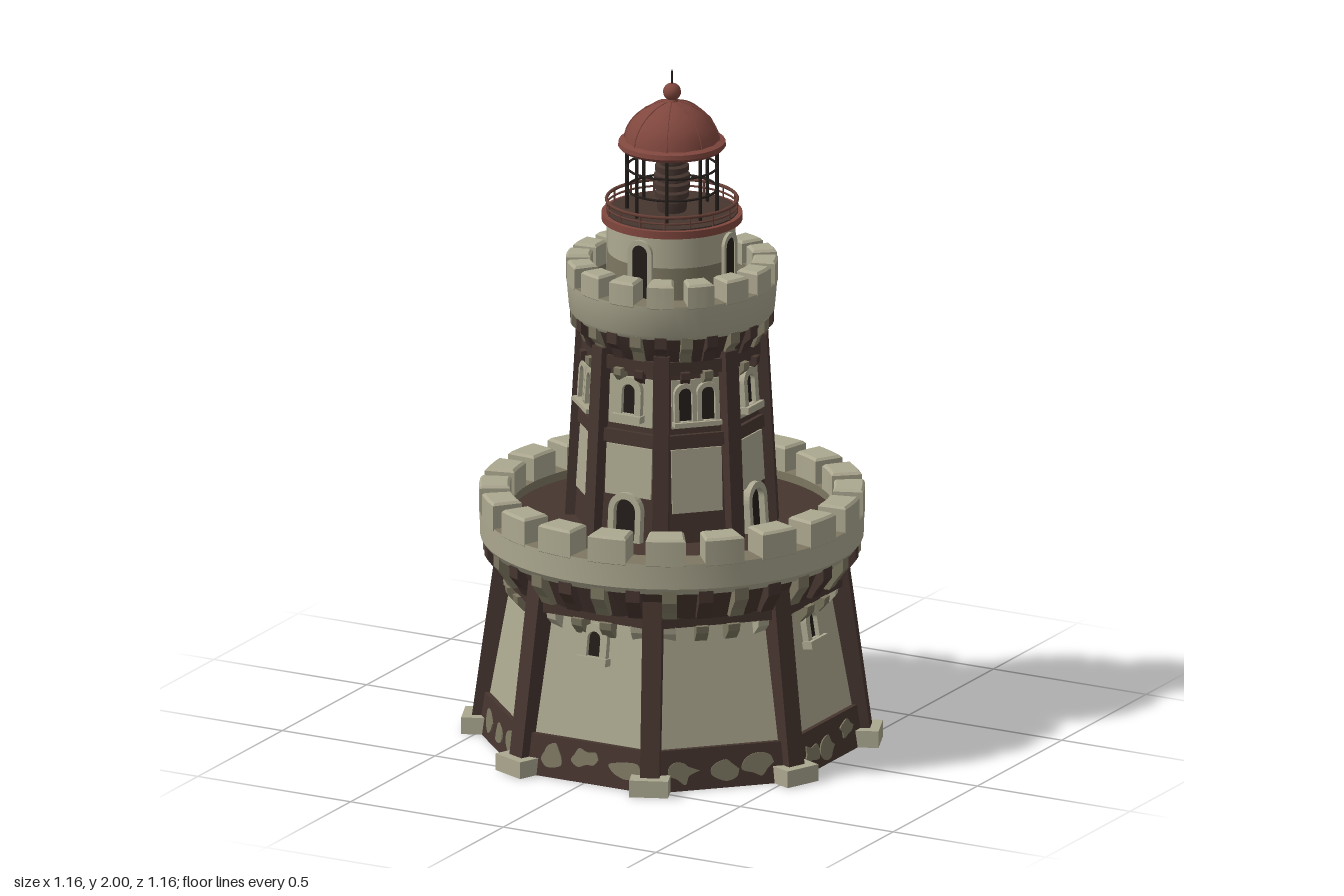
import * as THREE from 'three';
import { toCreasedNormals } from 'three/addons/utils/BufferGeometryUtils.js';

const mat = (name, color) => {
  const m = new THREE.MeshStandardMaterial({ color });
  m.name = name;
  return m;
};
const stone = mat('pale stone', 0xaca890);
const dimStone = mat('weathered stone', 0x7d7761);
const baseStone = mat('underside stone', 0x5c554a);
const brown = mat('dark brown masonry', 0x46352f);
const rust = mat('rust brown', 0x653f36);
const red = mat('red roof', 0x80473e);
const dark = mat('near black', 0x241e1a);

const TAU = Math.PI * 2, EIGHTH = Math.PI / 8, COS = Math.cos(EIGHTH);

function add(parent, name, geo, material, x = 0, y = 0, z = 0) {
  const m = new THREE.Mesh(geo, material);
  m.name = name;
  m.position.set(x, y, z);
  parent.add(m);
  return m;
}

// Repeats a part around the tower; inside each group +z points outward
function around(parent, name, n, offset, build) {
  for (let i = 0; i < n; i++) {
    const g = new THREE.Group();
    g.name = name;
    g.rotation.y = offset + (i / n) * TAU;
    parent.add(g);
    build(g, i);
  }
}

// Eight-sided frustum with corners at 22.5 degrees
const octagon = (rBottom, rTop, y0, y1) =>
  toCreasedNormals(new THREE.CylinderGeometry(rTop, rBottom, y1 - y0, 8, 1, false, EIGHTH)
    .translate(0, (y0 + y1) / 2, 0), 0.4);

const lathe = (pts, seg = 40, start = 0, crease = 0.6) =>
  toCreasedNormals(new THREE.LatheGeometry(pts.map(p => new THREE.Vector2(...p)), seg, start), crease);

const tube = (r0, r1, y0, y1) =>
  lathe([[r0, y0], [r1, y0], [r1, y1], [r0, y1], [r0, y0]], 60);

const torus = (r, t) => new THREE.TorusGeometry(r, t, 6, 40).rotateX(Math.PI / 2);

// Curved block spanning an angle, centred on +z, with chipped edges
function arcBlock(rIn, rOut, height, angle) {
  const b = 0.007, w = angle / 2;
  const s = new THREE.Shape();
  s.absarc(0, 0, rOut - b, -w, w, false);
  s.absarc(0, 0, rIn + b, w, -w, true);
  s.closePath();
  return toCreasedNormals(new THREE.ExtrudeGeometry(s, {
    depth: height - b, bevelEnabled: true, bevelThickness: b, bevelSize: b, bevelSegments: 1, curveSegments: 4,
  }).rotateX(-Math.PI / 2).rotateY(-Math.PI / 2), 0.3);
}

// Bracket with a side profile of [radius, height] points
function bracket(profile, width) {
  const s = new THREE.Shape(profile.map(p => new THREE.Vector2(...p)));
  return new THREE.ExtrudeGeometry(s, { depth: width, bevelEnabled: false })
    .translate(0, 0, -width / 2).rotateY(-Math.PI / 2);
}

// Leaning corner post from (r0, y0) to (r1, y1)
function post(parent, r0, y0, r1, y1, width, depth) {
  const m = add(parent, 'cornerPost', new THREE.BoxGeometry(width, Math.hypot(y1 - y0, r1 - r0), depth), brown,
    0, (y0 + y1) / 2, (r0 + r1) / 2);
  m.rotation.x = Math.atan((r1 - r0) / (y1 - y0));
}

function arch(w, h, Kind = THREE.Shape, y = 0) {
  const s = new Kind();
  s.moveTo(-w / 2, y);
  s.lineTo(w / 2, y);
  s.lineTo(w / 2, y + h - w / 2);
  s.absarc(0, y + h - w / 2, w / 2, 0, Math.PI, false);
  s.closePath();
  return s;
}
const plate = (shape, depth) => new THREE.ExtrudeGeometry(shape, { depth, bevelEnabled: false, curveSegments: 8 });

// Arched opening with a stone surround
function opening(parent, name, w, h, border, x, y, z, tilt, depth = 0.02, sill = true) {
  const g = new THREE.Group();
  g.name = name;
  g.position.set(x, y, z);
  g.rotation.x = tilt;
  parent.add(g);
  const frame = arch(w + 2 * border, h + border + (sill ? border : 0), THREE.Shape, sill ? -border : 0);
  frame.holes.push(arch(w, h - 0.002, THREE.Path, 0.001));
  add(g, 'surround', plate(frame, depth), stone);
  add(g, 'darkOpening', plate(arch(w, h), 0.006), dark);
  if (sill) add(g, 'sill', new THREE.BoxGeometry(w + 2.6 * border, border, depth * 1.6), stone, 0, -border / 2, depth * 0.8);
}

export function createModel() {
  const model = new THREE.Group();
  model.name = 'lighthouse';

  // Plinth with hollow underside, ragged stone patches and one long slab at the back
  add(model, 'plinth', lathe([[0.565, 0], [0.548, 0.12], [0.4, 0.12]], 8, EIGHTH, 0.4), brown);
  add(model, 'underside', lathe([[0.14, 0], [0.565, 0]], 8, EIGHTH), baseStone);
  add(model, 'undersideHollow', lathe([[0, 0.09], [0.07, 0.08], [0.14, 0]], 8, EIGHTH), rust);
  let seed = 7;
  const rand = () => (seed = (seed * 16807) % 2147483647) / 2147483647;
  around(model, 'plinthPatches', 8, 0, (g, face) => {
    if (face === 4) {
      const slab = add(g, 'stoneSlab', new THREE.BoxGeometry(0.35, 0.085, 0.02), stone, 0, 0.043, COS * 0.56 - 0.004);
      slab.rotation.x = -0.13;
      return;
    }
    for (const cx of [-0.13, -0.02, 0.1]) {
      const pts = [], rx = 0.038 + rand() * 0.018, ry = 0.026 + rand() * 0.012;
      for (let i = 0; i < 9; i++) {
        const a = (i / 9) * TAU, k = 0.55 + rand() * 0.65;
        pts.push(new THREE.Vector2(Math.cos(a) * rx * k, Math.sin(a) * ry * k));
      }
      const y = 0.045 + rand() * 0.03, shape = new THREE.Shape();
      shape.setFromPoints(new THREE.SplineCurve([...pts, pts[0]]).getPoints(36));
      const m = add(g, 'stonePatch', plate(shape, 0.004), dimStone, cx + rand() * 0.03, y, COS * (0.565 - y * 0.142));
      m.rotation.x = -0.13;
    }
  });
  around(model, 'cornerFoot', 8, EIGHTH, g =>
    add(g, 'footBlock', new THREE.BoxGeometry(0.112, 0.05, 0.12), stone, 0, 0.025, 0.542));

  // Lower wall, posts and string course
  add(model, 'lowerWall', octagon(0.537, 0.462, 0.1, 0.52), stone);
  around(model, 'lowerPosts', 8, EIGHTH, g => post(g, 0.545, 0.04, 0.474, 0.56, 0.056, 0.06));
  add(model, 'lowerStringCourse', octagon(0.507, 0.507, 0.474, 0.503), brown);
  around(model, 'lowerWindows', 4, 0, g => opening(g, 'lowerWindow', 0.042, 0.075, 0.022, 0, 0.362, 0.452, -0.16));

  // Overhang and brackets under the lower parapet
  add(model, 'lowerOverhang', lathe([[0.44, 0.49], [0.48, 0.5], [0.525, 0.6], [0.44, 0.6]], 40), brown);
  const tip = bracket([[0.40, 0.425], [0.455, 0.425], [0.482, 0.455], [0.485, 0.476], [0.40, 0.476]], 0.036);
  const upperBracket = bracket([[0.42, 0.505], [0.5, 0.505], [0.515, 0.53], [0.542, 0.565], [0.542, 0.602], [0.42, 0.602]], 0.042);
  around(model, 'lowerBrackets', 32, TAU / 64, (g, i) => {
    add(g, 'bracketTip', tip, i % 4 === 0 || i % 4 === 3 ? dimStone : stone);
    add(g, 'bracket', upperBracket, i % 2 ? brown : dimStone);
  });

  // Lower parapet, deck and battlements
  add(model, 'lowerParapet', lathe([[0.465, 0.59], [0.535, 0.59], [0.55, 0.61], [0.552, 0.685]], 60), stone);
  add(model, 'lowerParapetTop', lathe([[0.552, 0.685], [0.465, 0.685], [0.465, 0.6]], 60), dimStone);
  add(model, 'lowerDeck', new THREE.CylinderGeometry(0.47, 0.47, 0.04, 40), brown, 0, 0.64, 0);
  const bigMerlon = arcBlock(0.465, 0.553, 0.08, 0.185);
  around(model, 'lowerBattlement', 20, TAU / 40, g => add(g, 'merlon', bigMerlon, stone, 0, 0.68, 0));

  // Upper tower: brown core with inset stone panels between posts and bands
  add(model, 'upperWall', octagon(0.288, 0.247, 0.65, 1.22), brown);
  around(model, 'upperPosts', 8, EIGHTH, g => post(g, 0.282, 0.65, 0.25, 1.22, 0.046, 0.05));
  around(model, 'upperPanels', 8, 0, (g, i) => {
    const panel = (w, y0, y1) => {
      const y = (y0 + y1) / 2;
      const m = add(g, 'stonePanel', new THREE.BoxGeometry(w, y1 - y0, 0.012), stone, 0, y, COS * (0.288 - (y - 0.65) * 0.072));
      m.rotation.x = -0.067;
    };
    panel(0.15, i % 2 ? 0.75 : 0.79, 0.938);
    panel(0.142, 1.0, 1.142);
  });
  add(model, 'middleBand', octagon(0.28, 0.277, 0.945, 0.982), brown);
  add(model, 'topBand', octagon(0.268, 0.268, 1.16, 1.2), brown);
  around(model, 'upperDoors', 4, 0, g => opening(g, 'door', 0.07, 0.125, 0.018, 0, 0.66, 0.264, -0.07, 0.025, false));
  around(model, 'upperSingleWindows', 4, 0, g => opening(g, 'window', 0.042, 0.09, 0.02, 0, 1.035, 0.244, -0.07));
  around(model, 'upperPairedWindows', 4, Math.PI / 4, g => {
    for (const x of [-0.034, 0.034]) opening(g, 'window', 0.04, 0.1, 0.013, x, 1.022, 0.245, -0.07);
  });

  // Upper overhang, parapet and battlements
  add(model, 'upperOverhang', lathe([[0.22, 1.17], [0.245, 1.19], [0.283, 1.285], [0.22, 1.285]], 40), brown);
  const smallBracket = bracket([[0.2, 1.2], [0.258, 1.2], [0.27, 1.23], [0.292, 1.25], [0.292, 1.283], [0.2, 1.283]], 0.034);
  const smallTip = bracket([[0.2, 1.13], [0.248, 1.13], [0.266, 1.15], [0.266, 1.17], [0.2, 1.17]], 0.026);
  around(model, 'upperBrackets', 24, TAU / 48, (g, i) => {
    add(g, 'bracket', smallBracket, i % 2 ? brown : dimStone);
    add(g, 'bracketTip', smallTip, i % 2 ? dimStone : brown);
  });
  add(model, 'upperParapet', lathe([[0.235, 1.275], [0.285, 1.275], [0.295, 1.29], [0.303, 1.38]], 48), stone);
  add(model, 'upperParapetTop', lathe([[0.303, 1.38], [0.235, 1.38], [0.235, 1.28]], 48), dimStone);
  add(model, 'upperDeck', new THREE.CylinderGeometry(0.24, 0.24, 0.03, 40), brown, 0, 1.32, 0);
  const smallMerlon = arcBlock(0.233, 0.304, 0.07, 0.215);
  around(model, 'upperBattlement', 16, 0, g => add(g, 'merlon', smallMerlon, stone, 0, 1.375, 0));

  // Round drum, weathered at its foot, with arched doors
  add(model, 'drum', new THREE.CylinderGeometry(0.182, 0.184, 0.09, 40), stone, 0, 1.505, 0);
  add(model, 'drumFoot', new THREE.CylinderGeometry(0.186, 0.188, 0.14, 40), dimStone, 0, 1.39, 0);
  around(model, 'drumDoors', 4, 0, g => opening(g, 'drumDoor', 0.05, 0.16, 0.014, 0, 1.365, 0.183, 0, 0.01, false));

  // Gallery with railing
  add(model, 'galleryRim', tube(0.12, 0.202, 1.553, 1.575), red);
  add(model, 'galleryFloor', new THREE.CylinderGeometry(0.188, 0.188, 0.02, 40), brown, 0, 1.569, 0);
  add(model, 'handRail', torus(0.188, 0.005), rust, 0, 1.613, 0);
  add(model, 'middleRail', torus(0.188, 0.003), rust, 0, 1.594, 0);
  around(model, 'railing', 16, 0, g =>
    add(g, 'railPost', new THREE.CylinderGeometry(0.003, 0.003, 0.045, 6), rust, 0, 1.594, 0.188));

  // Lantern cage and stacked lens
  around(model, 'lanternCage', 8, EIGHTH, g =>
    add(g, 'cageBar', new THREE.CylinderGeometry(0.0055, 0.0055, 0.2, 6), dark, 0, 1.675, 0.13));
  for (const y of [1.645, 1.71]) add(model, 'cageRing', torus(0.13, 0.0035), dark, 0, y, 0);
  const lens = [[0, 1.575], [0.04, 1.575]];
  for (let i = 0; i < 6; i++) {
    const y = 1.595 + i * 0.026, r = 0.044 + 0.008 * Math.sin((i / 5) * Math.PI);
    lens.push([r, y], [r, y + 0.016], [r - 0.013, y + 0.021]);
  }
  lens.push([0.035, 1.78], [0, 1.78]);
  add(model, 'lens', lathe(lens, 20), brown);

  // Faceted dome with fine ribs, finial and spike
  add(model, 'domeEave', lathe([[0, 1.77], [0.145, 1.765], [0.155, 1.775], [0.153, 1.788], [0.13, 1.795]], 32), red);
  const dome = [[0.138, 1.788], [0.133, 1.815], [0.116, 1.847], [0.088, 1.875], [0.052, 1.896], [0.018, 1.906], [0.014, 1.915], [0, 1.915]];
  add(model, 'dome', lathe(dome, 16, 0, 0.5), red);
  const rib = new THREE.CatmullRomCurve3(dome.slice(0, 6).map(([r, y]) => new THREE.Vector3(0, y, r)));
  const ribGeo = new THREE.TubeGeometry(rib, 12, 0.002, 5);
  around(model, 'domeRibs', 8, EIGHTH, g => add(g, 'rib', ribGeo, red));
  add(model, 'finialBall', new THREE.SphereGeometry(0.026, 16, 12), red, 0, 1.934, 0);
  add(model, 'spike', new THREE.CylinderGeometry(0.002, 0.004, 0.05, 6), dark, 0, 1.975, 0);

  return model;
}
